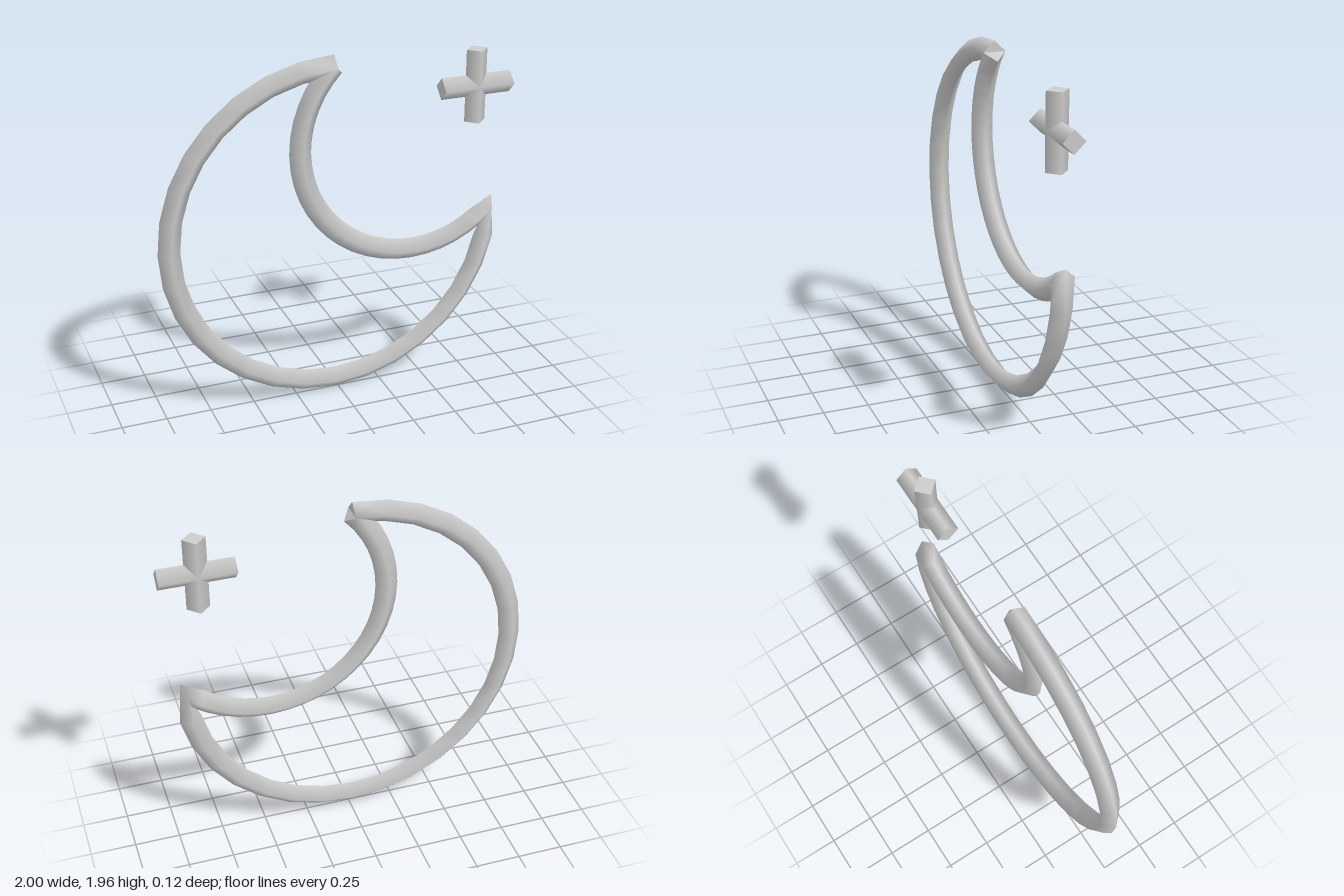
import * as THREE from 'three';

const R = 0.061; // half width of the diamond-section bar

// Sweep a diamond section along points {x, y, tx, ty}; smooth sides, flat end caps
function sweepDiamond(path) {
  const pos = [], idx = [];
  const ring = ({ x, y, tx, ty }) => {
    const rx = ty * R, ry = -tx * R;
    pos.push(x + rx, y + ry, 0, x, y, R, x - rx, y - ry, 0, x, y, -R);
  };
  path.forEach(ring);
  for (let i = 0; i < path.length - 1; i++) {
    for (let k = 0; k < 4; k++) {
      const a = i * 4 + k, b = i * 4 + (k + 1) % 4;
      idx.push(a, a + 4, b, b, a + 4, b + 4);
    }
  }
  // caps use their own vertices so their edges stay sharp
  const s = path.length * 4, e = s + 4;
  ring(path[0]);
  ring(path[path.length - 1]);
  idx.push(s, s + 1, s + 2, s, s + 2, s + 3, e, e + 2, e + 1, e, e + 3, e + 2);
  const g = new THREE.BufferGeometry();
  g.setAttribute('position', new THREE.Float32BufferAttribute(pos, 3));
  g.setIndex(idx);
  g.computeVertexNormals();
  return g;
}

// Points and tangents along a circular arc, angles in degrees
function arc(cx, cy, radius, from, to, steps) {
  const dir = Math.sign(to - from);
  return Array.from({ length: steps + 1 }, (_, i) => {
    const a = THREE.MathUtils.degToRad(from + (to - from) * i / steps);
    const c = Math.cos(a), s = Math.sin(a);
    return { x: cx + radius * c, y: cy + radius * s, tx: -s * dir, ty: c * dir };
  });
}

export function createModel() {
  const model = new THREE.Group();
  const grey = new THREE.MeshStandardMaterial({ color: 0xcccccc });
  grey.name = 'light grey';

  // Crescent outline: big outer arc, then the inner arc back to the upper horn
  const outer = arc(-0.02, 0.98, 0.92, 90, 360, 24);
  const inner = arc(0.44, 1.44, 0.46 * Math.SQRT2, 315, 135, 24);
  // the lower horn is one mitred ring shared by both arcs
  const end = outer.pop(), start = inner.shift();
  const t = new THREE.Vector2(end.tx + start.tx, end.ty + start.ty).normalize();
  const horn = { x: end.x, y: end.y, tx: t.x, ty: t.y };
  const crescent = new THREE.Mesh(sweepDiamond([...outer, horn, ...inner]), grey);
  crescent.name = 'crescentOutline';
  model.add(crescent);

  // Small cross: two diamond-section bars
  const cross = new THREE.Group();
  cross.name = 'cross';
  cross.position.set(0.797, 1.697, 0);
  for (const [name, turn] of [['crossUpright', 0], ['crossBar', Math.PI / 2]]) {
    const bar = new THREE.Mesh(new THREE.CylinderGeometry(R, R, 0.405, 4), grey);
    bar.name = name;
    bar.rotation.z = turn;
    cross.add(bar);
  }
  model.add(cross);
  return model;
}
